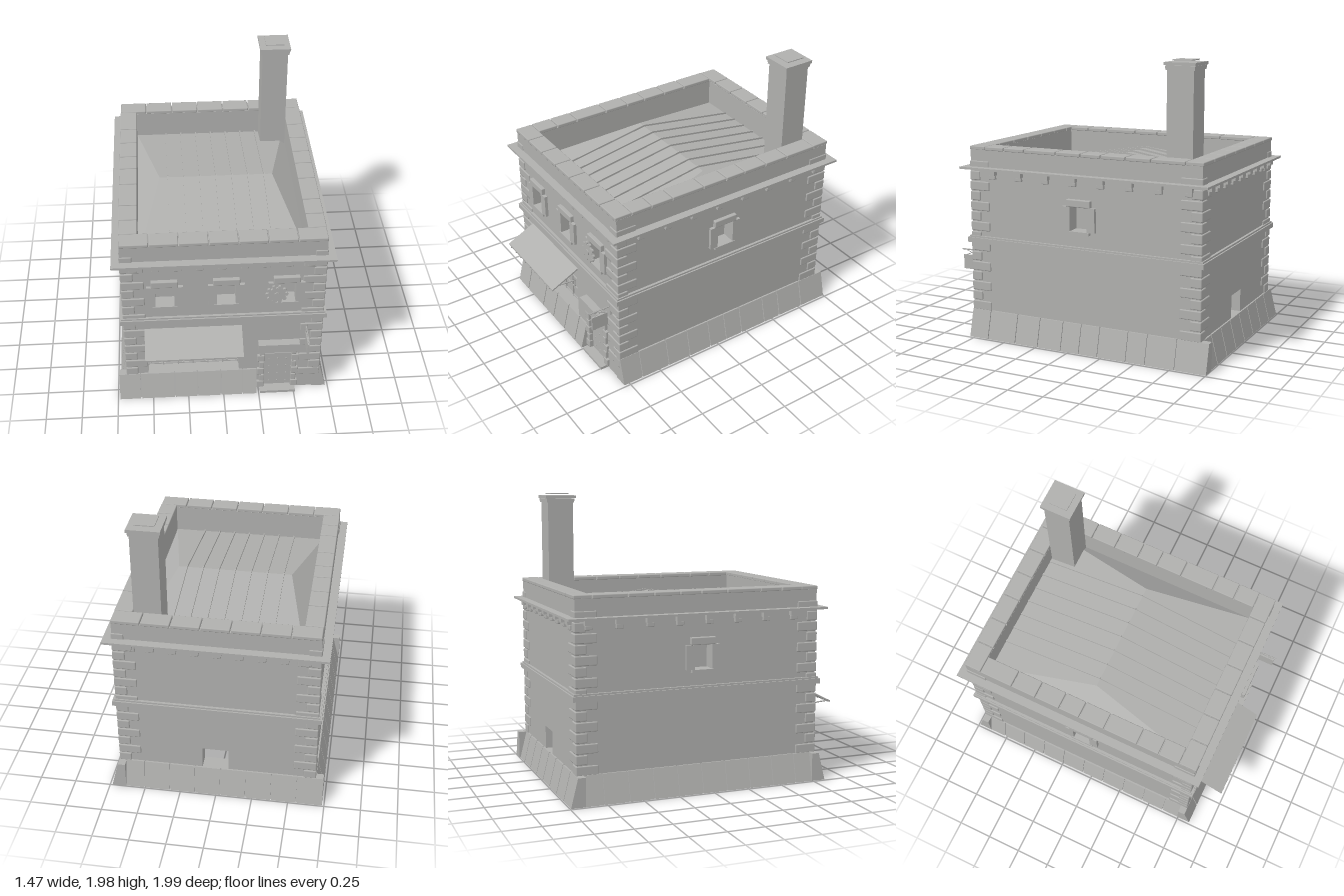
import * as THREE from 'three';
import { RoundedBoxGeometry } from 'three/addons/geometries/RoundedBoxGeometry.js';

const HX = 0.674, HZ = 0.858, T = 0.1; // half width, half depth and thickness of the walls

export function createModel() {
  const stone = new THREE.MeshStandardMaterial({ color: 0xb0b0ae, side: THREE.DoubleSide });
  stone.name = 'stone grey';

  const add = (parent, name, geo) => {
    const m = new THREE.Mesh(geo, stone);
    m.name = name;
    parent.add(m);
    return m;
  };
  // Box given by its limits; r rounds the edges
  const box = (parent, name, x0, x1, y0, y1, z0, z1, r = 0) => {
    const s = [x1 - x0, y1 - y0, z1 - z0];
    const geo = r ? new RoundedBoxGeometry(...s, 1, r) : new THREE.BoxGeometry(...s);
    return add(parent, name, geo.translate((x0 + x1) / 2, (y0 + y1) / 2, (z0 + z1) / 2));
  };
  // Profile in (outward, up), swept sideways from u0 to u1
  const sweep = (parent, name, pts, u0, u1) => {
    const shape = new THREE.Shape(pts.map(p => new THREE.Vector2(...p)));
    const geo = new THREE.ExtrudeGeometry(shape, { depth: u1 - u0, bevelEnabled: false });
    return add(parent, name, geo.rotateY(-Math.PI / 2).translate(u1, 0, 0));
  };
  // Thin round bar between two points
  const bar = (parent, name, a, b, r = 0.005) => {
    const curve = new THREE.LineCurve3(new THREE.Vector3(...a), new THREE.Vector3(...b));
    return add(parent, name, new THREE.TubeGeometry(curve, 1, r, 6));
  };
  const even = (a, b, n) => Array.from({ length: n + 1 }, (_, i) => a + (b - a) * i / n);

  const model = new THREE.Group();
  model.name = 'stoneShop';
  const house = new THREE.Group();
  house.name = 'house';
  house.position.z = -0.075;
  model.add(house);

  // One wall face: local x runs along it, local z = 0 is its outer surface
  const makeSide = (name, angle, half, dist, holes) => {
    const g = new THREE.Group();
    g.name = name;
    g.rotation.y = angle;
    g.position.set(Math.sin(angle) * dist, 0, Math.cos(angle) * dist);
    house.add(g);
    const shape = new THREE.Shape([[-half, 0.005], [half, 0.005], [half, 1.34], [-half, 1.34]]
      .map(p => new THREE.Vector2(...p)));
    for (const [x0, x1, y0, y1] of holes) {
      shape.holes.push(new THREE.Path([[x0, y0], [x0, y1], [x1, y1], [x1, y0]]
        .map(p => new THREE.Vector2(...p))));
    }
    const geo = new THREE.ExtrudeGeometry(shape, { depth: T, bevelEnabled: false });
    add(g, 'wall', geo.translate(0, 0, -T));
    return g;
  };
  const windowHole = u => [u - 0.065, u + 0.065, 0.84, 1.0];
  const addWindow = (g, u) => {
    for (const s of [-1, 1]) {
      const a = u + s * 0.063, b = u + s * 0.122;
      box(g, 'windowJamb', Math.min(a, b), Math.max(a, b), 0.84, 1.005, -0.03, 0.022);
    }
    box(g, 'windowLintel', u - 0.09, u + 0.09, 1.005, 1.055, -0.02, 0.027, 0.006);
    box(g, 'windowSill', u - 0.083, u + 0.083, 0.82, 0.84, -0.05, 0.027);
    box(g, 'windowPane', u - 0.065, u + 0.065, 0.84, 1.0, -0.085, -0.078);
  };
  // Sloping footing stones with narrow joints
  const addFooting = (g, edges) => {
    for (let i = 0; i + 1 < edges.length; i++) {
      sweep(g, 'footingStone', [[-0.04, 0.005], [0.06, 0.005], [0.011, 0.2], [-0.04, 0.2]],
        edges[i] + (i ? 0.004 : 0), edges[i + 1] - (i + 2 < edges.length ? 0.004 : 0));
    }
    sweep(g, 'footingJoint', [[-0.03, 0.006], [0.05, 0.006], [0.004, 0.196], [-0.03, 0.196]],
      edges[0] + 0.01, edges.at(-1) - 0.01);
  };

  const fx = [-0.393, 0.017, 0.419];
  const front = makeSide('frontSide', 0, HX, HZ,
    [...fx.map(windowHole), [-0.53, 0.11, 0.2, 0.56], [0.285, 0.48, 0.02, 0.405]]);
  const right = makeSide('eastSide', Math.PI / 2, HZ, HX, [windowHole(-0.012)]);
  const left = makeSide('westSide', -Math.PI / 2, HZ, HX, [windowHole(0.012)]);
  const back = makeSide('backSide', Math.PI, HX, HZ, [[-0.1, 0.08, 0.2, 0.36]]);
  fx.forEach(u => addWindow(front, u));
  addWindow(right, -0.012);
  addWindow(left, 0.012);

  addFooting(front, [-0.735, -0.585, -0.345, -0.185, -0.02, 0.135, 0.235]);
  addFooting(right, [0.79, 0.64, 0.42, 0.24, 0.06, -0.08, -0.22, -0.43, -0.57, -0.78, -1].map(z => -z - 0.075));
  addFooting(left, even(-0.865, 0.865, 10));
  addFooting(back, even(-0.68, 0.735, 8));

  // Brackets under the cornice
  for (const [g, u0, u1, n] of [[front, -0.595, 0.575, 8], [back, -0.575, 0.595, 8],
    [right, -0.682, 0.773, 7], [left, -0.773, 0.682, 7]]) {
    for (const u of even(u0, u1, n)) {
      box(g, 'bracketTop', u - 0.031, u + 0.031, 1.17, 1.206, -0.01, 0.037);
      box(g, 'bracketFoot', u - 0.026, u + 0.026, 1.14, 1.17, -0.01, 0.02, 0.005);
    }
  }

  // Corner stones, long and short in turn
  for (const sx of [-1, 1]) for (const sz of [-1, 1]) for (let k = -2; k <= 13; k++) {
    const y = 1.086 - 0.0715 * k, odd = k % 2 !== 0;
    const w = odd ? 0.155 : 0.085, d = odd ? 0.08 : 0.152;
    const m = add(house, 'cornerStone', new RoundedBoxGeometry(w, 0.064, d, 1, 0.007));
    m.position.set(sx * (HX + 0.009 - w / 2), y, sz * (HZ + 0.009 - d / 2));
  }

  // Ring of four bars, out from the wall face and inward by t
  const ring = (name, out, t, y0, y1) => {
    const X = HX + out, Z = HZ + out;
    for (const s of [-1, 1]) {
      box(house, name, -X, X, y0, y1, s > 0 ? Z - t : -Z, s > 0 ? Z : -Z + t);
      box(house, name, s > 0 ? X - t : -X, s > 0 ? X : -X + t, y0, y1, -Z + t, Z - t);
    }
  };
  ring('beltCourse', 0.028, 0.04, 0.685, 0.72);
  ring('beltCourseTop', 0.018, 0.03, 0.72, 0.732);
  ring('corniceSlab', 0.061, 0.08, 1.205, 1.22);
  ring('parapet', 0.003, 0.115, 1.15, 1.34);

  // Capping stones around the parapet
  const cap = (x0, x1, z0, z1) => box(house, 'capStone', x0, x1, 1.337, 1.363, z0, z1, 0.006);
  const CX = 0.68, CZ = 0.868, CT = 0.122;
  const capZ = [-0.746, -0.505, -0.325, -0.145, 0.005, 0.19, 0.435, 0.595, 0.746];
  const capX = even(-CX, CX, 7);
  for (const s of [-1, 1]) {
    for (let i = 0; i < 7; i++) cap(capX[i] + 0.003, capX[i + 1] - 0.003, s > 0 ? CZ - CT : -CZ, s > 0 ? CZ : -CZ + CT);
    for (let i = 0; i < 8; i++) cap(s > 0 ? CX - CT : -CX, s > 0 ? CX : -CX + CT, capZ[i] + 0.003, capZ[i + 1] - 0.003);
  }

  // Low hipped roof with seams
  const RX = 0.56, RZ = 0.75, y0 = 1.15, y1 = 1.272, rx = 0.4;
  const roof = new THREE.BufferGeometry();
  roof.setAttribute('position', new THREE.Float32BufferAttribute([
    -RX, y0, RZ, RX, y0, RZ, RX, y0, -RZ, -RX, y0, -RZ, -rx, y1, 0, rx, y1, 0], 3));
  roof.setIndex([0, 1, 5, 0, 5, 4, 2, 3, 4, 2, 4, 5, 1, 2, 5, 3, 0, 4]);
  const flatRoof = roof.toNonIndexed();
  flatRoof.computeVertexNormals();
  add(house, 'roof', flatRoof);
  for (let i = -3; i <= 3; i++) for (const s of [-1, 1]) {
    const seam = add(house, 'roofSeam', new THREE.BoxGeometry(0.01, 0.016, Math.hypot(RZ, y1 - y0)));
    seam.position.set(i * 0.114, (y0 + y1) / 2 + 0.005, s * RZ / 2);
    seam.rotation.x = s * Math.atan2(y1 - y0, RZ);
  }

  // Chimney
  const chimney = new THREE.Group();
  chimney.name = 'chimney';
  chimney.position.set(0.461, 0, -0.726);
  model.add(chimney);
  const block = (name, h, a, b) => box(chimney, name, -h, h, a, b, -h, h);
  block('chimneyStack', 0.092, 1.15, 1.925);
  block('chimneyCollar', 0.1, 1.92, 1.935);
  block('chimneyCapLower', 0.102, 1.93, 1.948);
  block('chimneyCap', 0.11, 1.95, 1.97);
  block('chimneyLid', 0.067, 1.98, 1.986);

  // Shop window with the counter, cabinet and bottle behind it
  box(front, 'shopPane', -0.53, 0.11, 0.2, 0.56, -0.09, -0.083);
  for (const u of even(-0.525, 0.105, 6)) box(front, 'shopBar', u - 0.004, u + 0.004, 0.2, 0.56, -0.083, -0.073);
  for (const y of [0.21, 0.3, 0.39, 0.48]) box(front, 'shopCrossBar', -0.53, 0.11, y - 0.004, y + 0.004, -0.083, -0.075);
  box(front, 'counter', -0.53, 0.11, 0.165, 0.2, -0.2, -0.09);
  box(front, 'counterBack', -0.52, -0.14, 0.2, 0.5, -0.2, -0.185);
  add(front, 'bottle', new THREE.LatheGeometry([[0, 0], [0.04, 0], [0.04, 0.1], [0.02, 0.13], [0.02, 0.17], [0, 0.17]]
    .map(p => new THREE.Vector2(...p)), 12)).position.set(0.0, 0.2, -0.145);

  // Awning with its arms
  sweep(front, 'awning', [[0, 0.622], [0.205, 0.52], [0.205, 0.508], [0, 0.609]], -0.54, 0.125);
  for (const u of [-0.51, 0.09]) {
    bar(front, 'awningArm', [u, 0.5, 0], [u, 0.515, 0.19]);
    bar(front, 'awningPost', [u, 0.45, 0.01], [u, 0.51, 0.01], 0.007);
  }
  for (const u of even(-0.5, 0.08, 8)) box(front, 'awningStud', u - 0.004, u + 0.004, 0.504, 0.512, 0.2, 0.209);

  // Door with studs, stone surround, hood and step
  box(front, 'door', 0.285, 0.48, 0.02, 0.405, -0.03, -0.01);
  box(front, 'doorRail', 0.285, 0.48, 0.325, 0.332, -0.01, -0.005);
  for (const x of [0.325, 0.385, 0.445]) for (const y of [0.06, 0.135, 0.21, 0.28, 0.35]) {
    add(front, 'doorStud', new THREE.SphereGeometry(0.005, 8, 6)).position.set(x, y, -0.009);
  }
  for (let i = 0; i < 6; i++) {
    const y = 0.025 + i * 0.063, w = i % 2 ? 0.035 : 0.05;
    box(front, 'doorSurround', 0.287 - w, 0.287, y, y + 0.058, -0.03, 0.02, 0.005);
    box(front, 'doorSurround', 0.478, 0.478 + w, y, y + 0.058, -0.03, 0.02, 0.005);
  }
  box(front, 'doorHood', 0.24, 0.525, 0.402, 0.47, -0.01, 0.057);
  box(front, 'doorStep', 0.26, 0.51, 0.005, 0.025, -0.04, 0.06);

  // Hanging sign on a braced bracket
  const sx = 0.57;
  bar(front, 'signBracket', [sx, 0.592, 0], [sx, 0.592, 0.165]);
  bar(front, 'signBrace', [sx, 0.52, 0.005], [sx, 0.61, 0.005], 0.007);
  bar(front, 'signHanger', [sx, 0.592, 0.035], [sx, 0.55, 0.135], 0.003);
  bar(front, 'signHanger', [sx, 0.592, 0.135], [sx, 0.55, 0.035], 0.003);
  box(front, 'signBoard', sx - 0.006, sx + 0.006, 0.45, 0.553, 0.03, 0.15);

  // Cog wheel ornament in front of a window
  const cog = new THREE.Group();
  cog.name = 'cogWheel';
  cog.position.set(0.352, 0.92, 0.032);
  front.add(cog);
  const disc = (name, r, depth, sides) =>
    add(cog, name, new THREE.CylinderGeometry(r, r, depth, sides).rotateX(Math.PI / 2));
  disc('cogDisc', 0.058, 0.014, 20);
  disc('cogHub', 0.02, 0.026, 12);
  for (let i = 0; i < 10; i++) {
    const a = i * Math.PI / 5;
    disc('cogTooth', 0.013, 0.014, 8).position.set(Math.cos(a) * 0.064, Math.sin(a) * 0.064, 0);
  }
  return model;
}
